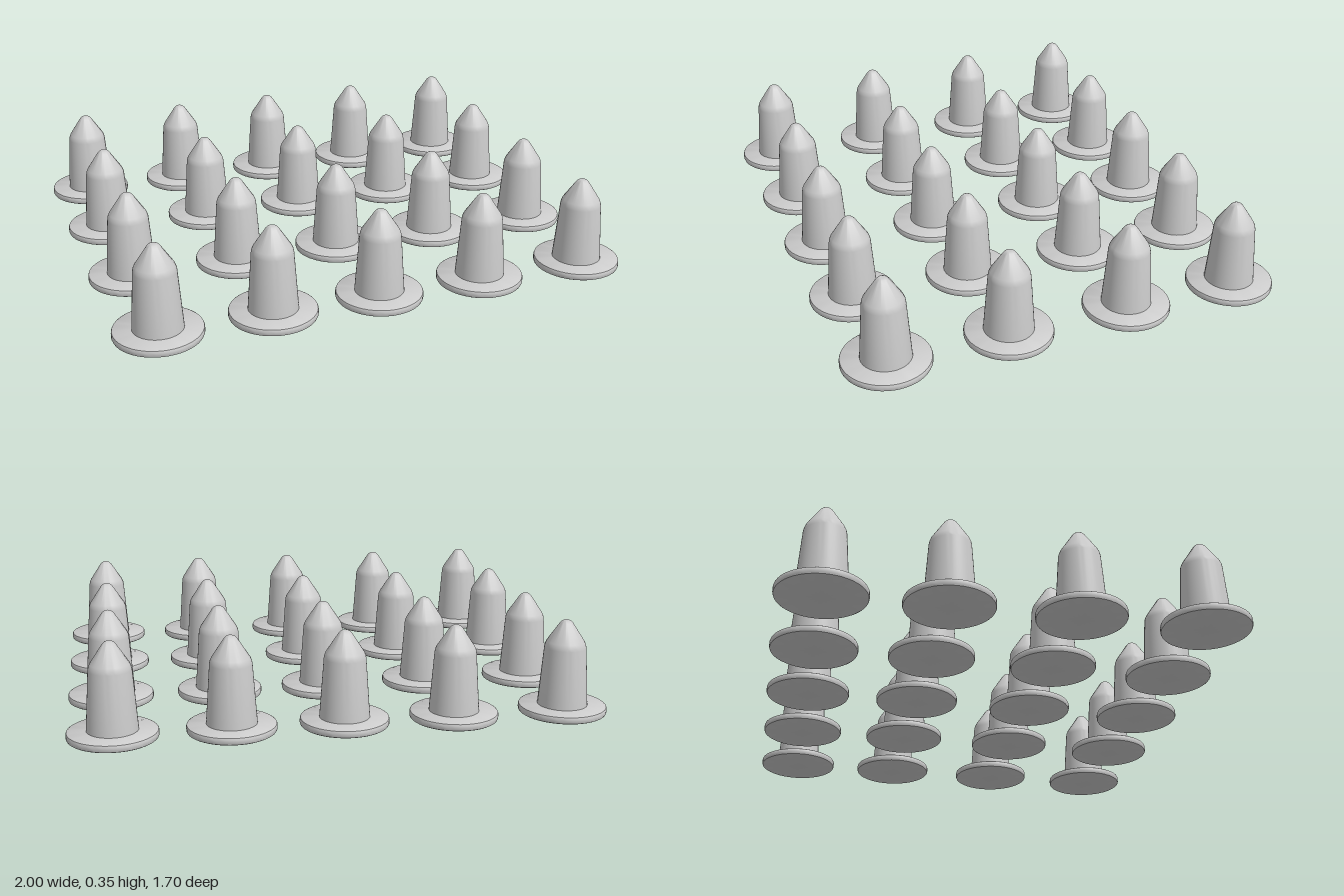
import * as THREE from 'three';
import { toCreasedNormals } from 'three/addons/utils/BufferGeometryUtils.js';

const SEGMENTS = 48;

// Revolve a list of [radius, height] points around the y axis.
function revolve(profile) {
  const points = profile.map(([r, y]) => new THREE.Vector2(r, y));
  return toCreasedNormals(new THREE.LatheGeometry(points, SEGMENTS), 0.6);
}

export function createModel() {
  const model = new THREE.Group();
  const material = new THREE.MeshStandardMaterial({ color: 0xcccccc });

  // Thin round foot with softened rims
  const baseGeometry = revolve([
    [0, 0], [0.157, 0], [0.162, 0.003], [0.164, 0.008],
    [0.164, 0.022], [0.162, 0.027], [0.157, 0.03], [0, 0.03],
  ]);

  // Tapered post, rounded shoulder, conical nose with a blunt tip
  const spikeGeometry = revolve([
    [0.093, 0.028], [0.077, 0.25], [0.075, 0.261], [0.07, 0.273],
    [0.024, 0.343], [0.017, 0.35], [0.009, 0.354], [0, 0.355],
  ]);

  // Four rows of five pegs
  const columns = [-0.836, -0.413, 0, 0.413, 0.836];
  const rows = [-0.685, -0.245, 0.225, 0.685];
  for (const z of rows) {
    for (const x of columns) {
      const peg = new THREE.Group();
      peg.name = 'peg';
      const base = new THREE.Mesh(baseGeometry, material);
      base.name = 'base';
      const spike = new THREE.Mesh(spikeGeometry, material);
      spike.name = 'spike';
      peg.add(base, spike);
      peg.position.set(x, 0, z);
      model.add(peg);
    }
  }
  return model;
}
